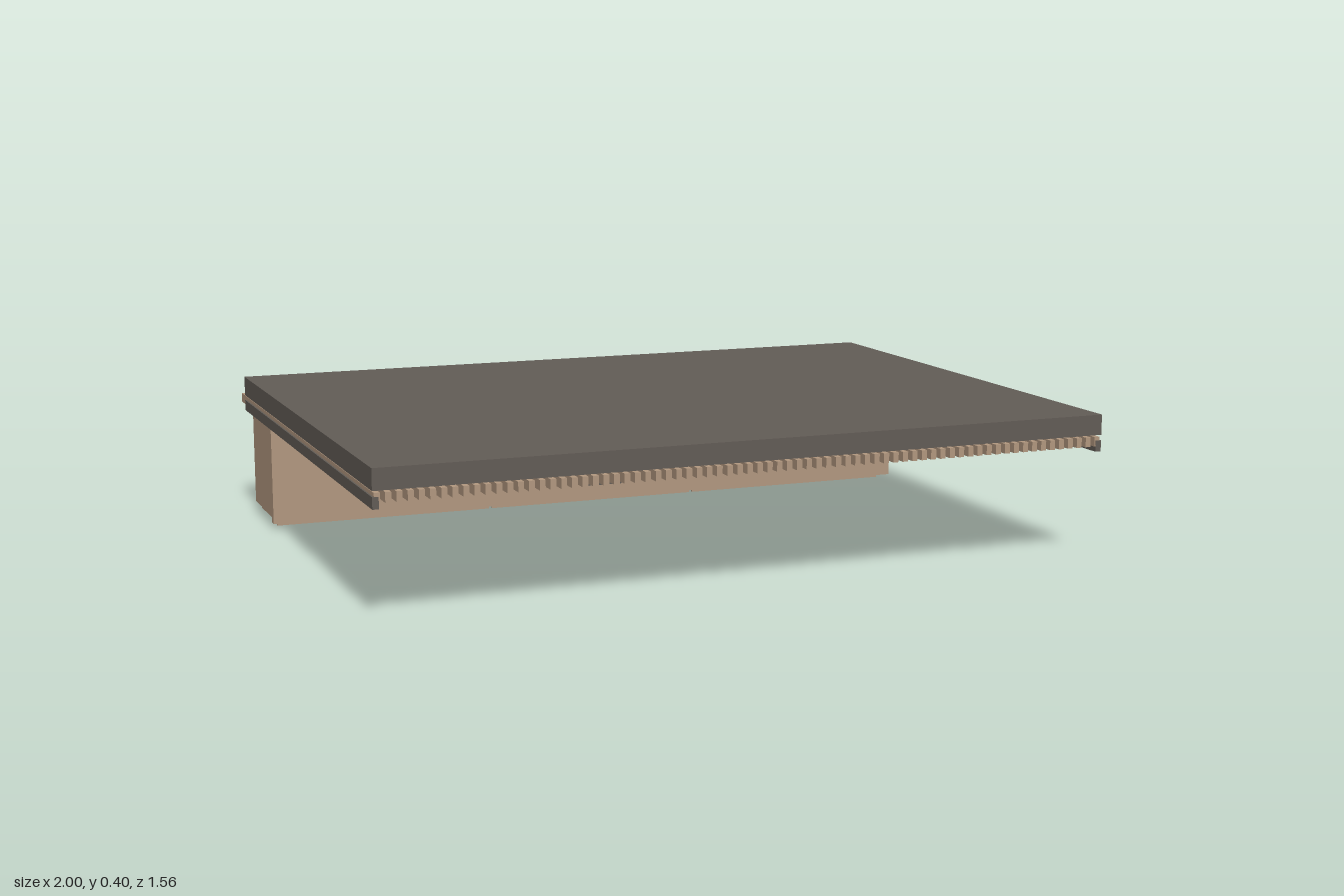
import * as THREE from 'three';

export function createModel() {
  const group = new THREE.Group();
  const mat = (name, color) => {
    const m = new THREE.MeshStandardMaterial({ color });
    m.name = name;
    return m;
  };
  const slate = mat('dark grey', 0x625c56);
  const wood = mat('tan wood', 0xb1977f);
  const black = mat('black glass', 0x191e21);

  // Box given by its minimum and maximum on each axis
  const box = (name, material, [x0, x1], [y0, y1], [z0, z1]) => {
    const mesh = new THREE.Mesh(new THREE.BoxGeometry(x1 - x0, y1 - y0, z1 - z0), material);
    mesh.position.set((x0 + x1) / 2, (y0 + y1) / 2, (z0 + z1) / 2);
    mesh.name = name;
    group.add(mesh);
    return mesh;
  };

  // Roof slab
  box('roofSlab', slate, [-1, 1], [0.345, 0.4], [-0.71, 0.78]);

  // Row of slats under the slab, running out past its back edge
  const count = 73, reach = 0.988;
  for (let i = 0; i < count; i++) {
    const x = -reach + (2 * reach * i) / (count - 1);
    box('slat', wood, [x - 0.0075, x + 0.0075], [0.314, 0.34], [-0.78, 0.779]);
  }

  // Side rails
  for (const s of [-1, 1]) {
    const xs = [s * 0.984, s].sort((a, b) => a - b);
    box('sideRail', slate, xs, [0.3, 0.33], [-0.71, 0.78]);
  }

  // Hanging screen: frame and dark face underneath
  box('screenFrame', slate, [-0.6, 0.6], [0.276, 0.303], [-0.165, 0.465]);
  box('screenFace', black, [-0.585, 0.585], [0.27, 0.276], [-0.15, 0.45]);

  // Long cabinet with front panel and handle
  box('cabinetBody', wood, [-0.985, 0.985], [0.03, 0.3], [-0.675, -0.43]);
  box('frontPanel', wood, [-0.99, 0.99], [0.016, 0.3], [-0.43, -0.405]);
  box('handle', slate, [-0.055, 0.07], [0.06, 0.14], [-0.405, -0.383]);

  // Three bottom doors, each with a thin lip on its front edge
  for (let i = -1; i <= 1; i++) {
    const xs = [i * 0.65 - 0.32, i * 0.65 + 0.32];
    box('bottomDoor', wood, xs, [0.01, 0.03], [-0.665, -0.455]);
    box('doorLip', wood, xs, [0, 0.012], [-0.459, -0.451]);
  }
  return group;
}
